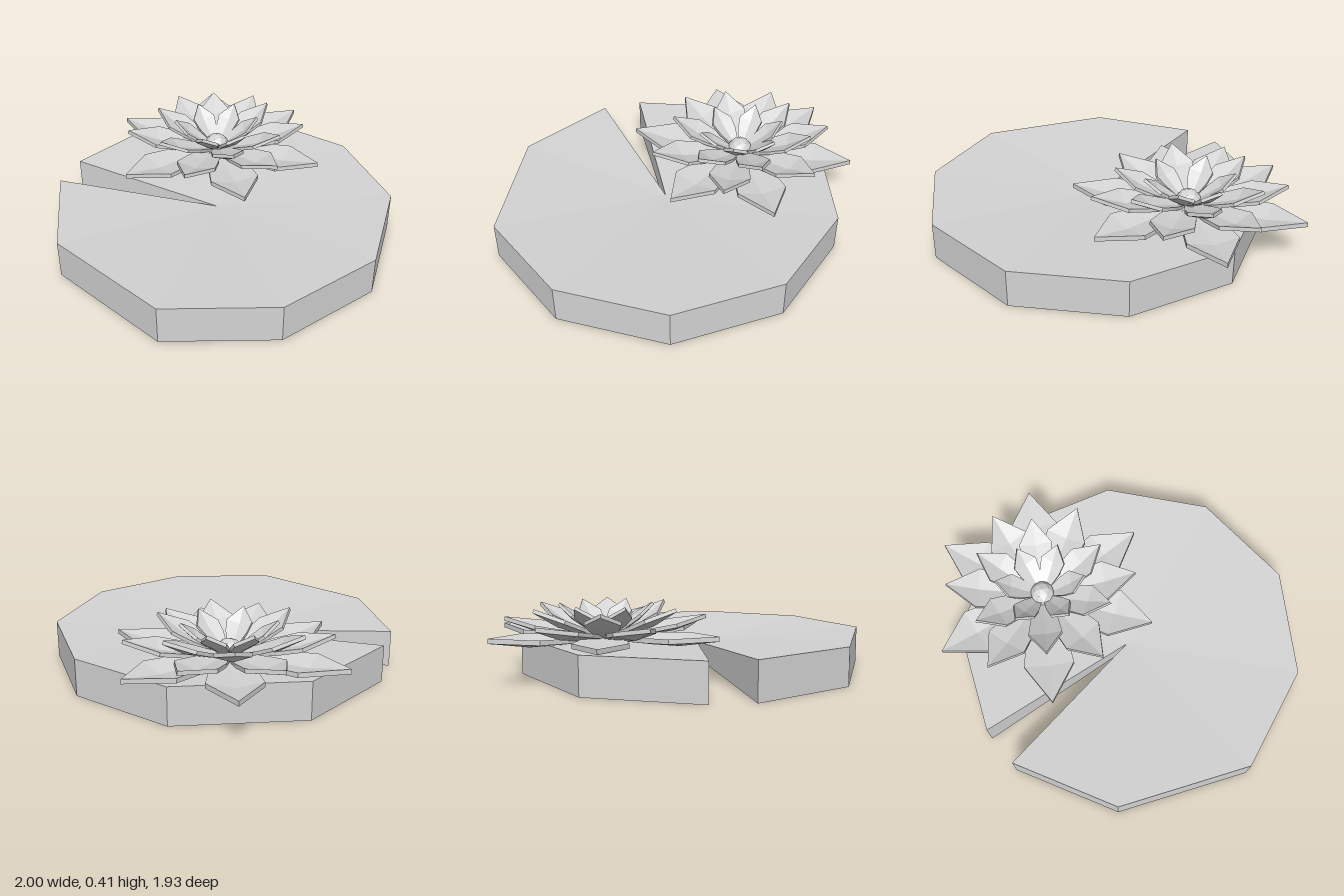
import * as THREE from 'three';

const grey = new THREE.MeshStandardMaterial({ color: 0xd4d4d4, flatShading: true });
grey.name = 'pale grey';

// Builds a flat-faced geometry from quads and triangles of [x, y, z] corners
function facesToGeometry(faces) {
  const pos = [];
  for (const f of faces) {
    for (let i = 1; i < f.length - 1; i++) pos.push(...f[0], ...f[i], ...f[i + 1]);
  }
  const g = new THREE.BufferGeometry();
  g.setAttribute('position', new THREE.Float32BufferAttribute(pos, 3));
  g.computeVertexNormals();
  return g;
}

// Lily pad: fans around the notch apex, dished inwards above and below, with upright sides
function padGeometry() {
  const rim = [
    [-0.74, 0.6], [-0.24, 0.965], [0.51, 0.925], [0.92, 0.485], [1, -0.115], [0.705, -0.65],
    [0.155, -0.905], [-0.44, -0.795], [-0.88, -0.25], [-0.84, 0.39],
  ];
  const apex = [0.03, 0.07];
  const low = (p) => [p[0], p === apex ? 0.062 : 0, p[1]];
  const high = (p) => [p[0], p === apex ? 0.152 : 0.208, p[1]];
  const faces = [];
  for (let i = 0; i < rim.length - 1; i++) {
    faces.push([high(apex), high(rim[i]), high(rim[i + 1])]);
    faces.push([low(apex), low(rim[i + 1]), low(rim[i])]);
  }
  const loop = [apex, ...rim];
  loop.forEach((p, i) => {
    const q = loop[(i + 1) % loop.length];
    faces.push([low(p), low(q), high(q), high(p)]);
  });
  return facesToGeometry(faces);
}

// Petal pointing along +x: thin, pointed, with a valley along its middle
function petalGeometry({ inner, reach, half, base, tip, fold, thick }) {
  const stations = [[0, 0.35], [0.36, 0.83], [0.63, 1], [1, 0]];
  const tilt = Math.atan2(tip - base, reach - inner);
  const section = (t, w, depth) => {
    const x = inner + (reach - inner) * t + depth * Math.sin(tilt);
    const y = base + (tip - base) * t - depth * Math.cos(tilt);
    return [-1, 0, 1].map((s) => [x, y - (s === 0 ? fold * w : 0), s * w * half]);
  };
  const top = stations.map(([t, w]) => section(t, w, 0));
  const bottom = stations.map(([t, w]) => section(t, w, thick));
  const faces = [];
  for (let i = 0; i < stations.length - 1; i++) {
    const [a, b, c, d] = [top[i], top[i + 1], bottom[i], bottom[i + 1]];
    for (let k = 0; k < 2; k++) {
      faces.push([a[k], a[k + 1], b[k + 1], b[k]]);
      faces.push([c[k], d[k], d[k + 1], c[k + 1]]);
    }
    faces.push([a[0], b[0], d[0], c[0]]);
    faces.push([a[2], c[2], d[2], b[2]]);
  }
  const [a, c] = [top[0], bottom[0]];
  for (let k = 0; k < 2; k++) faces.push([a[k], c[k], c[k + 1], a[k + 1]]);
  return facesToGeometry(faces);
}

export function createModel() {
  const model = new THREE.Group();
  model.name = 'waterLily';

  const pad = new THREE.Mesh(padGeometry(), grey);
  pad.name = 'lilyPad';
  model.add(pad);

  const flower = new THREE.Group();
  flower.name = 'flower';
  flower.position.set(-0.375, 0, -0.315);
  model.add(flower);

  // Four rings of petals, steeper towards the middle; two alternating sets of directions
  const even = [-22, -85, -139, 161, 97, 30];
  const odd = [4, -55, -109.5, -164, 134.5, 63];
  const rings = [
    { name: 'outerPetal', angles: even, inner: 0.06, reach: 0.656, half: 0.14, base: 0.238, tip: 0.262, fold: 0.028, thick: 0.026 },
    { name: 'secondPetal', angles: odd, inner: 0.06, reach: 0.543, half: 0.118, base: 0.24, tip: 0.333, fold: 0.029, thick: 0.022 },
    { name: 'thirdPetal', angles: even, inner: 0.05, reach: 0.41, half: 0.094, base: 0.24, tip: 0.394, fold: 0.026, thick: 0.02 },
    { name: 'innerPetal', angles: odd, inner: 0.04, reach: 0.248, half: 0.07, base: 0.25, tip: 0.406, fold: 0.02, thick: 0.018 },
  ];
  for (const ring of rings) {
    const geometry = petalGeometry(ring);
    ring.angles.forEach((deg) => {
      const petal = new THREE.Mesh(geometry, grey);
      petal.name = ring.name;
      petal.rotation.y = -THREE.MathUtils.degToRad(deg);
      flower.add(petal);
    });
  }

  // Faceted bud nestled between the inner petals
  const bud = new THREE.Mesh(new THREE.IcosahedronGeometry(0.074, 1), grey);
  bud.name = 'flowerCentre';
  bud.position.y = 0.235;
  flower.add(bud);

  return model;
}
